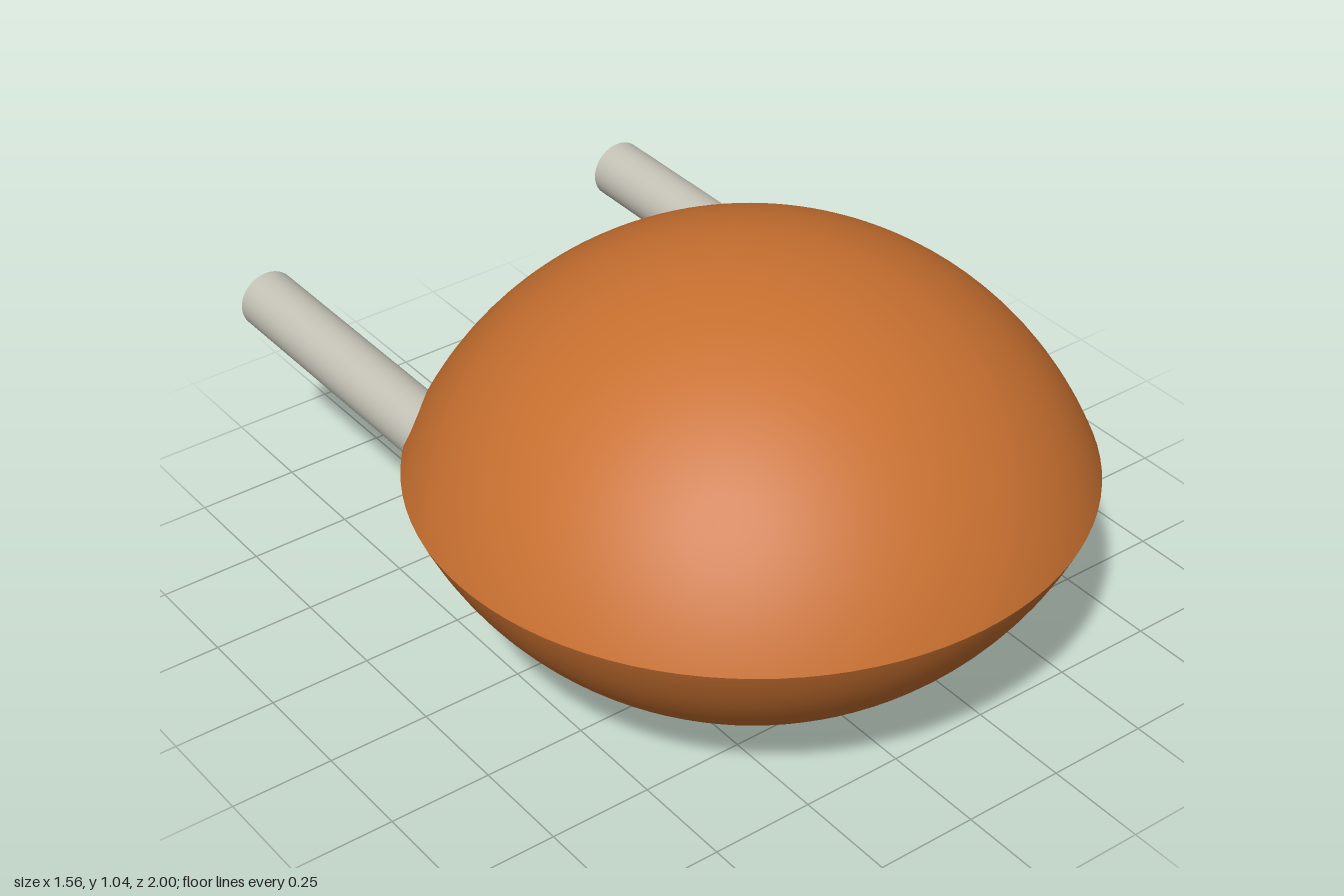
import * as THREE from 'three';

const RIM = 0.78, HALF = 0.521, CENTER_Z = 0.22;

export function createModel() {
  const model = new THREE.Group();
  const orange = new THREE.MeshStandardMaterial({ color: 0xc87030 });
  orange.name = 'burnt orange';
  const grey = new THREE.MeshStandardMaterial({ color: 0xc4c2b6 });
  grey.name = 'warm grey';

  // Lens body: two spherical caps meeting at a sharp rim
  const radius = (RIM * RIM + HALF * HALF) / (2 * HALF);
  const angle = Math.asin(RIM / radius);
  const cap = new THREE.SphereGeometry(radius, 96, 32, 0, Math.PI * 2, 0, angle);
  cap.translate(0, HALF - radius, 0);

  const body = new THREE.Group();
  body.name = 'lensBody';
  body.position.set(0, HALF, CENTER_Z);
  const upper = new THREE.Mesh(cap, orange);
  upper.name = 'upperShell';
  const lower = new THREE.Mesh(cap, orange);
  lower.name = 'lowerShell';
  lower.rotation.x = Math.PI;
  body.add(upper, lower);
  model.add(body);

  // Twin rods running backwards out of the rim
  const back = -1, front = -0.2;
  const rodGeometry = new THREE.CylinderGeometry(0.073, 0.073, front - back, 40);
  rodGeometry.rotateX(Math.PI / 2);
  for (const [name, side] of [['leftRod', 1], ['rightRod', -1]]) {
    const rod = new THREE.Mesh(rodGeometry, grey);
    rod.name = name;
    rod.position.set(side * 0.521, HALF + 0.002, (front + back) / 2);
    model.add(rod);
  }
  return model;
}
